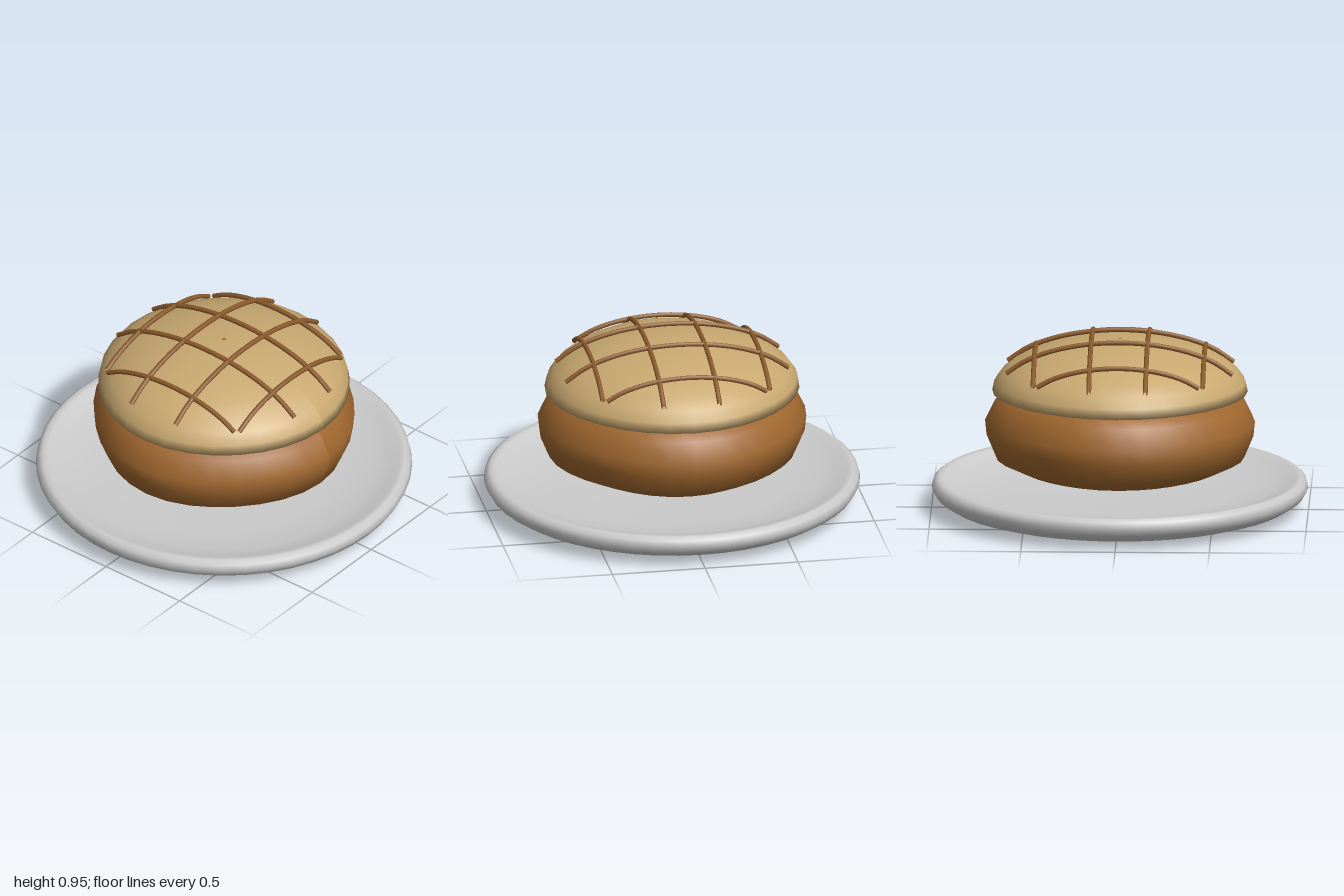
import * as THREE from 'three';

const material = (color) => new THREE.MeshStandardMaterial({ color, side: THREE.DoubleSide });

function lathe(name, profile, segments, color) {
  const points = profile.map(([r, y]) => new THREE.Vector2(r, y));
  const mesh = new THREE.Mesh(new THREE.LatheGeometry(points, segments), material(color));
  mesh.name = name;
  return mesh;
}

// Slightly uneven outline so the dough looks hand shaped
function knead(mesh, amount) {
  const p = mesh.geometry.attributes.position;
  for (let i = 0; i < p.count; i++) {
    const a = Math.atan2(p.getZ(i), p.getX(i));
    const k = 1 + amount * (Math.cos(4 * a) - 1) / 2;
    p.setX(i, p.getX(i) * k);
    p.setZ(i, p.getZ(i) * k);
  }
  mesh.geometry.computeVertexNormals();
  return mesh;
}

// Height of a flattened dome over a point at radius r
const dome = (r, height) => 0.64 + height * Math.sqrt(Math.max(0, 1 - (r / 0.68) ** 2));

export function createModel() {
  const model = new THREE.Group();
  model.name = 'bunOnPlate';

  // Shallow plate with a rounded lip and a dished top
  model.add(lathe('plate', [
    [0.01, 0], [0.75, 0.005], [0.84, 0.02], [0.92, 0.045], [0.975, 0.08], [0.998, 0.12],
    [0.99, 0.155], [0.965, 0.174], [0.935, 0.17], [0.89, 0.15], [0.8, 0.125], [0.6, 0.1], [0.01, 0.085],
  ], 48, 0xcccccc));

  // Bun body
  model.add(knead(lathe('bun', [
    [0.01, 0.218], [0.53, 0.222], [0.66, 0.285], [0.708, 0.4], [0.716, 0.48],
    [0.665, 0.585], [0.6, 0.636], [0.45, 0.69], [0.01, 0.72],
  ], 32, 0xa0672f), 0.035));

  // Crust cap: half dome with a flat underside
  const cap = [[0.55, 0.64], [0.678, 0.643]];
  for (let i = 1; i <= 8; i++) {
    const r = Math.max(0.01, 0.68 * Math.cos((i / 8) * Math.PI / 2));
    cap.push([r, dome(r, 0.285)]);
  }
  model.add(knead(lathe('crust', cap, 32, 0xc8a870), 0.015));

  // Lattice of thin strips arching over the crust, in both directions
  const lattice = new THREE.Group();
  lattice.name = 'lattice';
  const stripMaterial = material(0x8b5a2b);
  for (const turn of [0, Math.PI / 2]) {
    for (const offset of [-0.45, -0.15, 0.15, 0.45]) {
      const half = Math.abs(offset) > 0.3 ? 0.43 : 0.6;
      const points = [];
      for (let i = 0; i <= 12; i++) {
        const x = half * (i / 6 - 1);
        points.push(new THREE.Vector3(x, dome(Math.hypot(x, offset), 0.306), offset));
      }
      const curve = new THREE.CatmullRomCurve3(points);
      const strip = new THREE.Mesh(new THREE.TubeGeometry(curve, 24, 0.013, 8), stripMaterial);
      strip.name = 'latticeStrip';
      strip.rotation.y = turn;
      lattice.add(strip);
    }
  }
  model.add(lattice);
  return model;
}
